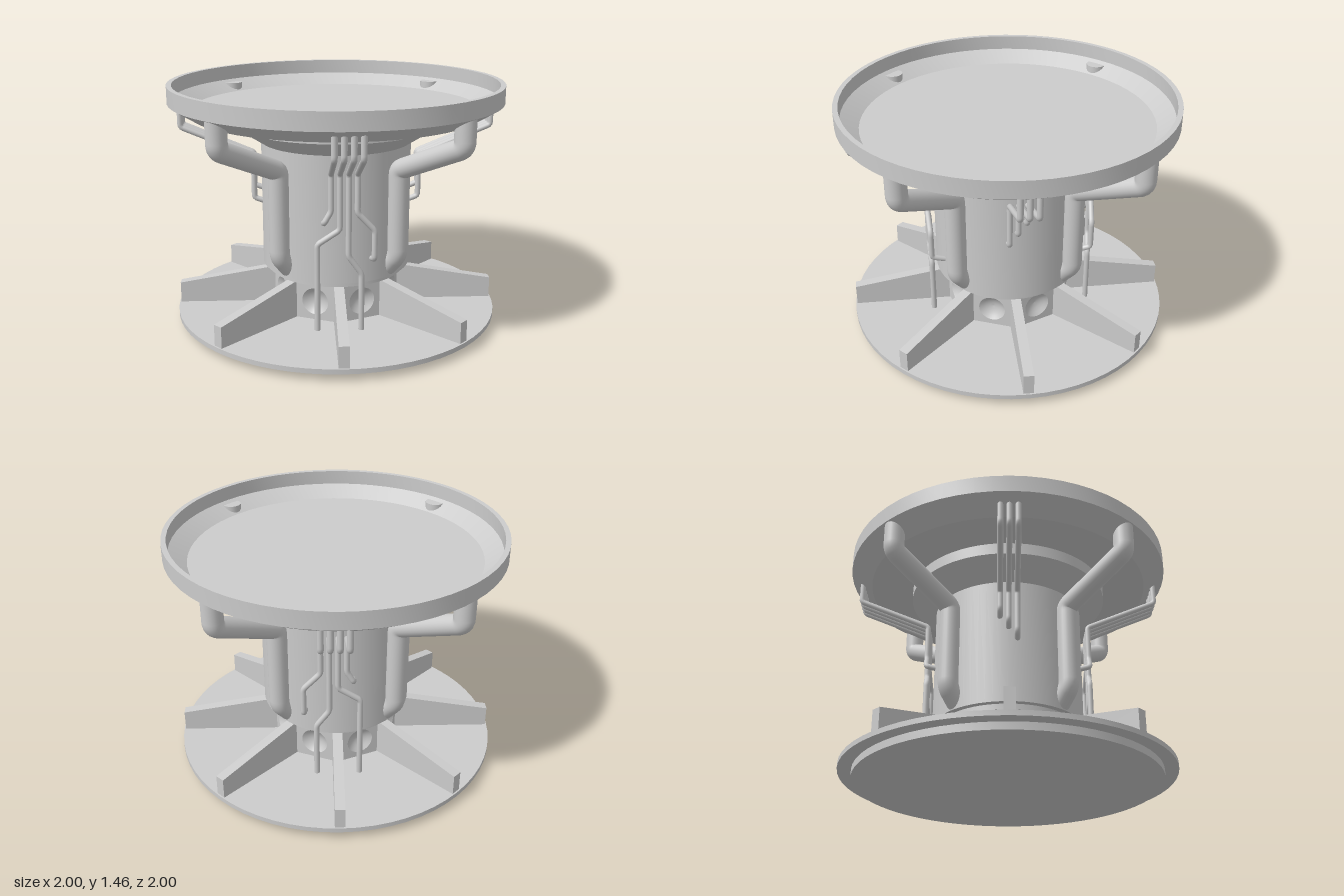
import * as THREE from 'three';
import { toCreasedNormals } from 'three/addons/utils/BufferGeometryUtils.js';

const grey = new THREE.MeshStandardMaterial({ color: 0xcccccc });
const greyDouble = new THREE.MeshStandardMaterial({ color: 0xcccccc, side: THREE.DoubleSide });

function mesh(name, geometry, parent, material = grey) {
  const m = new THREE.Mesh(geometry, material);
  m.name = name;
  parent.add(m);
  return m;
}

// Turned part with crisp edges from a list of [radius, y]
function turned(name, profile, parent) {
  const points = profile.map(([r, y]) => new THREE.Vector2(r, y));
  return mesh(name, toCreasedNormals(new THREE.LatheGeometry(points, 64), 0.5), parent);
}

// Bent pipe through [sideways, outward, y] points, with short rounded corners
function pipe(name, points, radius, bend, parent, sides = 12) {
  const p = points.map(([t, r, y]) => new THREE.Vector3(t, y, r));
  const path = new THREE.CurvePath();
  let from = p[0];
  for (let i = 1; i < p.length - 1; i++) {
    const a = p[i].clone().add(p[i - 1].clone().sub(p[i]).setLength(bend));
    const b = p[i].clone().add(p[i + 1].clone().sub(p[i]).setLength(bend));
    path.add(new THREE.LineCurve3(from, a));
    path.add(new THREE.QuadraticBezierCurve3(a, p[i], b));
    from = b;
  }
  path.add(new THREE.LineCurve3(from, p[p.length - 1]));
  mesh(name, new THREE.TubeGeometry(path, 90, radius, sides), parent);
  const cap = new THREE.CircleGeometry(radius, sides).rotateX(-Math.PI / 2);
  mesh(name + 'Cap', cap, parent).position.copy(p[0]);
}

function turnedGroup(name, angle, parent) {
  const g = new THREE.Group();
  g.name = name;
  g.rotation.y = angle;
  parent.add(g);
  return g;
}

export function createModel() {
  const model = new THREE.Group();
  model.name = 'pedestal';

  // Base plate, central drum and upper dish
  turned('basePlate', [[0, 0], [0.91, 0], [0.91, 0.043], [0.99, 0.043], [0.99, 0.072], [0, 0.072]], model);
  turned('drum', [[0, 0.31], [0.42, 0.31], [0.42, 0.345], [0.455, 0.345], [0.455, 1.11],
    [0.61, 1.21], [0.61, 1.285]], model);
  turned('upperDish', [[0, 1.28], [0.87, 1.28], [1, 1.36], [1, 1.463], [0.97, 1.463],
    [0.97, 1.375], [0.865, 1.31], [0, 1.31]], model);

  // Eight-sided hub with a round recess in every face, and ribs at its corners
  const apothem = 0.366, half = apothem * Math.tan(Math.PI / 8), dishRadius = 0.083;
  const face = new THREE.Shape([[-half, 0.07], [half, 0.07], [half, 0.315], [-half, 0.315]]
    .map(([x, y]) => new THREE.Vector2(x, y)));
  const hole = new THREE.Path();
  hole.absarc(0, 0.187, dishRadius, 0, Math.PI * 2, true);
  face.holes.push(hole);
  const faceGeometry = new THREE.ShapeGeometry(face, 16);
  const dishProfile = [0, 0.25, 0.5, 0.75, 1].map((k) => new THREE.Vector2(dishRadius * k, -0.035 * (1 - k * k)));
  const dishGeometry = new THREE.LatheGeometry(dishProfile, 32).rotateX(Math.PI / 2);

  const ribShape = new THREE.Shape([[0.3, 0.06], [0.98, 0.06], [0.98, 0.2], [0.38, 0.303], [0.3, 0.303]]
    .map(([x, y]) => new THREE.Vector2(x, y)));
  const ribGeometry = new THREE.ExtrudeGeometry(ribShape, { depth: 0.06, bevelEnabled: false }).translate(0, 0, -0.03);

  for (let i = 0; i < 8; i++) {
    const angle = i * Math.PI / 4;
    mesh('rib', ribGeometry, model).rotation.y = angle;
    const side = turnedGroup('hubSide', angle + Math.PI / 8, model);
    mesh('hubFace', faceGeometry, side, greyDouble).position.z = apothem;
    mesh('hubRecess', dishGeometry, side, greyDouble).position.set(0, 0.187, apothem);
  }

  // Four large pipes from the dish to the drum
  for (let i = 0; i < 4; i++) {
    pipe('largePipe', [[0, 0.935, 1.36], [0, 0.935, 1.195], [0, 0.49, 1.0], [0, 0.49, 0.48], [0, 0.41, 0.39]],
      0.06, 0.035, turnedGroup('largePipeGroup', i * Math.PI / 2, model), 24);
  }

  const upper = (t) => [[t, 0.93, 1.33], [t, 0.93, 1.2], [t, 0.5, 1.02]];

  // Two bundles of four thin pipes: two reach the base, two hook into the drum
  const longEnds = [
    [-0.05, [[-0.05, 0.5, 0.8], [-0.09, 0.5, 0.73], [-0.09, 0.42, 0.71]]],
    [0, [[0, 0.5, 0.69], [-0.13, 0.49, 0.6], [-0.13, 0.49, 0.06]]],
    [0.05, [[0.05, 0.5, 0.53], [0.126, 0.49, 0.42], [0.126, 0.49, 0.06]]],
    [0.1, [[0.1, 0.5, 0.79], [0.2, 0.49, 0.68], [0.2, 0.49, 0.51], [0.19, 0.41, 0.485]]],
  ];
  for (const [angle, flip] of [[Math.PI / 4, 1], [-3 * Math.PI / 4, -1]]) {
    const bundle = turnedGroup('longPipeBundle', angle, model);
    for (const [t, end] of longEnds) {
      const points = [...upper(t), ...end].map(([s, r, y]) => [s * flip, r, y]);
      pipe('thinPipe', points, 0.017, 0.018, bundle);
    }
  }

  // Two bundles of three short thin pipes, stepped in length
  for (const [angle, flip] of [[-Math.PI / 4, 1], [3 * Math.PI / 4, -1]]) {
    const bundle = turnedGroup('shortPipeBundle', angle, model);
    [-0.05, 0, 0.05].forEach((t, i) => {
      const y = 0.9 - i * 0.07;
      pipe('thinPipe', [...upper(t * flip), [t * flip, 0.5, y], [t * flip, 0.42, y - 0.03]], 0.017, 0.018, bundle);
    });
  }

  return model;
}
